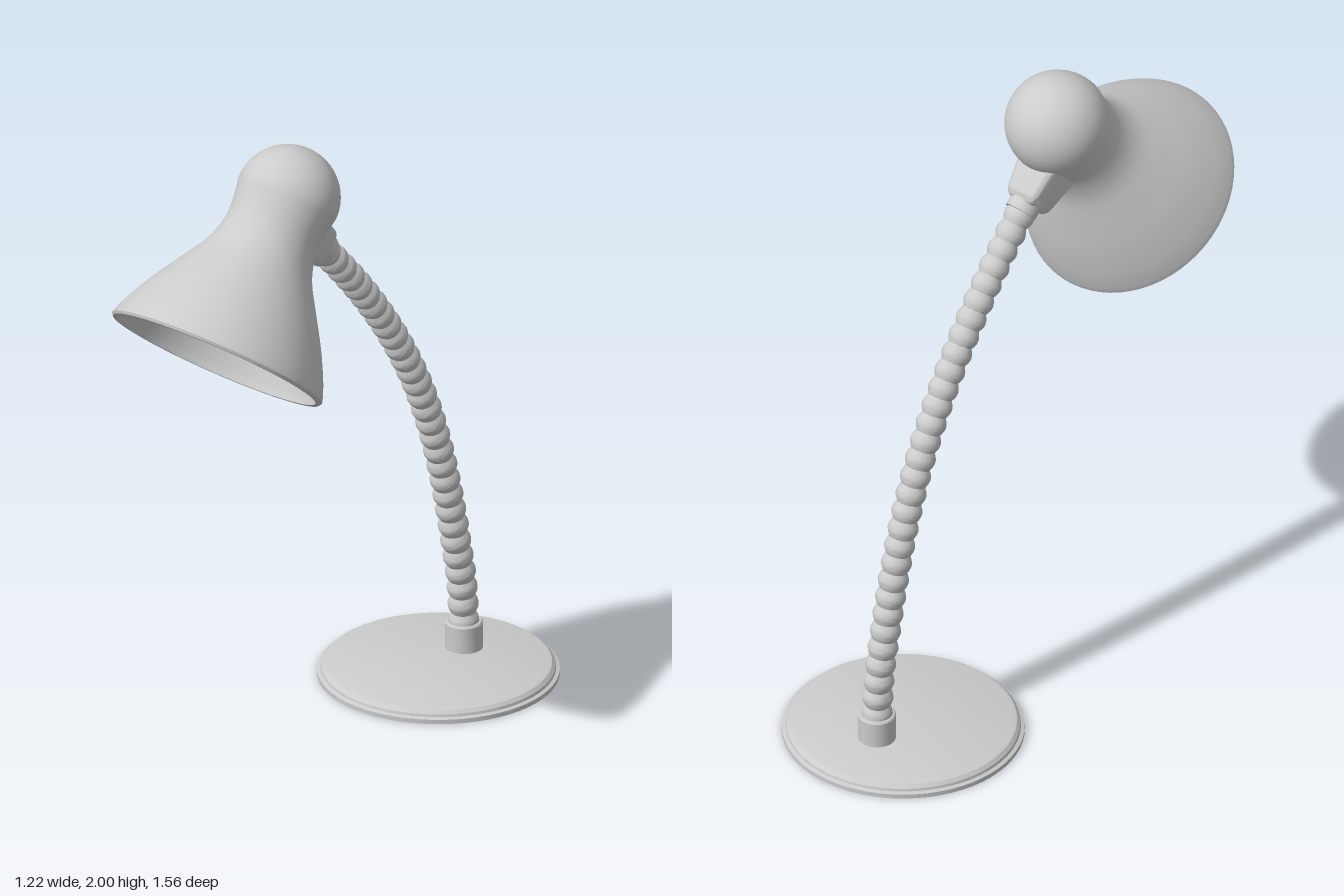
import * as THREE from 'three';
import { RoundedBoxGeometry } from 'three/addons/geometries/RoundedBoxGeometry.js';
import { toCreasedNormals } from 'three/addons/utils/BufferGeometryUtils.js';

const grey = new THREE.MeshStandardMaterial({ color: 0xcccccc });

function part(name, geometry, parent) {
  const mesh = new THREE.Mesh(geometry, grey);
  mesh.name = name;
  parent.add(mesh);
  return mesh;
}

const vec2 = (list) => list.map(([x, y]) => new THREE.Vector2(x, y));

// Solid turned from a profile listed bottom to top, with sharp edges kept
const turned = (profile, sides) => toCreasedNormals(new THREE.LatheGeometry(vec2(profile), sides), 0.5);

// Ribbed gooseneck: a tube whose radius swells once per rib
function ribbedTube(curve, ribs, steps, rMin, rMax, sides) {
  const rings = ribs * steps;
  const geo = new THREE.TubeGeometry(curve, rings, 1, sides, false);
  const pos = geo.attributes.position;
  const v = new THREE.Vector3();
  for (let i = 0; i <= rings; i++) {
    const centre = curve.getPointAt(i / rings);
    const r = rMin + (rMax - rMin) * Math.abs(Math.sin((i / steps) * Math.PI));
    for (let j = 0; j <= sides; j++) {
      const k = i * (sides + 1) + j;
      v.fromBufferAttribute(pos, k).sub(centre).multiplyScalar(r).add(centre);
      pos.setXYZ(k, v.x, v.y, v.z);
    }
  }
  return toCreasedNormals(geo, 0.75);
}

// Bell shade with a ball top; its axis runs down -y from the ball centre
function shadeGeometry() {
  const ball = 0.16;
  const arc = [];
  for (let i = 0; i <= 12; i++) {
    const a = (i / 12) * Math.PI / 2;
    arc.push([ball * Math.sin(a), ball * Math.cos(a)]);
  }
  const bell = new THREE.SplineCurve(vec2([
    [0.16, 0], [0.148, -0.08], [0.15, -0.14], [0.172, -0.21], [0.22, -0.29],
    [0.275, -0.38], [0.317, -0.46], [0.338, -0.51], [0.344, -0.53],
  ])).getPoints(32).map((p) => [p.x, p.y]);
  const outer = [...arc, ...bell.slice(1)];
  // Inner wall follows the outer one, slightly smaller
  const inner = outer.map(([x, y]) => [Math.max(0, x - 0.02 * Math.min(1, x / 0.1)), y > 0 ? y * 0.88 : y]);
  const lip = [[0.326, -0.538], [0.338, -0.538]];
  return toCreasedNormals(new THREE.LatheGeometry(vec2([...inner, ...lip, ...outer.reverse()]), 64), 0.7);
}

// Rounded block that narrows towards the neck (-z)
function bracketGeometry() {
  const geo = new RoundedBoxGeometry(0.15, 0.16, 0.17, 4, 0.025);
  const pos = geo.attributes.position;
  for (let i = 0; i < pos.count; i++) {
    const t = THREE.MathUtils.clamp((0.02 - pos.getZ(i)) / 0.105, 0, 1);
    const s = 1 - 0.3 * t;
    pos.setXY(i, pos.getX(i) * s, pos.getY(i) * s);
  }
  geo.computeVertexNormals();
  return toCreasedNormals(geo, 0.6);
}

export function createModel() {
  const lamp = new THREE.Group();
  lamp.name = 'deskLamp';

  // Round foot with a stepped, bevelled edge
  const base = part('base', turned([
    [0, 0], [0.365, 0], [0.365, 0.014], [0.354, 0.018], [0.352, 0.026], [0.342, 0.036], [0.328, 0.04], [0, 0.04],
  ], 64), lamp);
  base.position.set(0.24, 0, -0.42);

  // The arm and head lie in one upright plane, turned about the collar
  const arm = new THREE.Group();
  arm.name = 'arm';
  arm.position.set(0.3, 0, -0.53);
  arm.rotation.y = -0.52;
  lamp.add(arm);

  part('baseCollar', turned([
    [0, 0.03], [0.057, 0.03], [0.057, 0.122], [0.053, 0.127], [0, 0.127],
  ], 32), arm);

  const path = new THREE.CatmullRomCurve3([
    [0, 0.1], [0.01, 0.25], [0.038, 0.4], [0.083, 0.6], [0.142, 0.8], [0.225, 1.0],
    [0.34, 1.2], [0.487, 1.4], [0.665, 1.6], [0.72, 1.655],
  ].map(([z, y]) => new THREE.Vector3(0, y, z)));
  part('gooseneck', ribbedTube(path, 31, 8, 0.037, 0.047, 20), arm);

  // Tilted head
  const head = new THREE.Group();
  head.name = 'head';
  head.position.set(0, 1.84, 0.84);
  head.rotation.x = -0.686;
  arm.add(head);

  part('shade', shadeGeometry(), head);
  const bracket = part('shadeBracket', bracketGeometry(), head);
  bracket.position.set(0, -0.075, -0.17);
  const ferrule = part('neckFerrule', new THREE.CylinderGeometry(0.05, 0.05, 0.05, 28), head);
  ferrule.rotation.x = Math.PI / 2;
  ferrule.position.set(0, -0.072, -0.258);

  return lamp;
}
